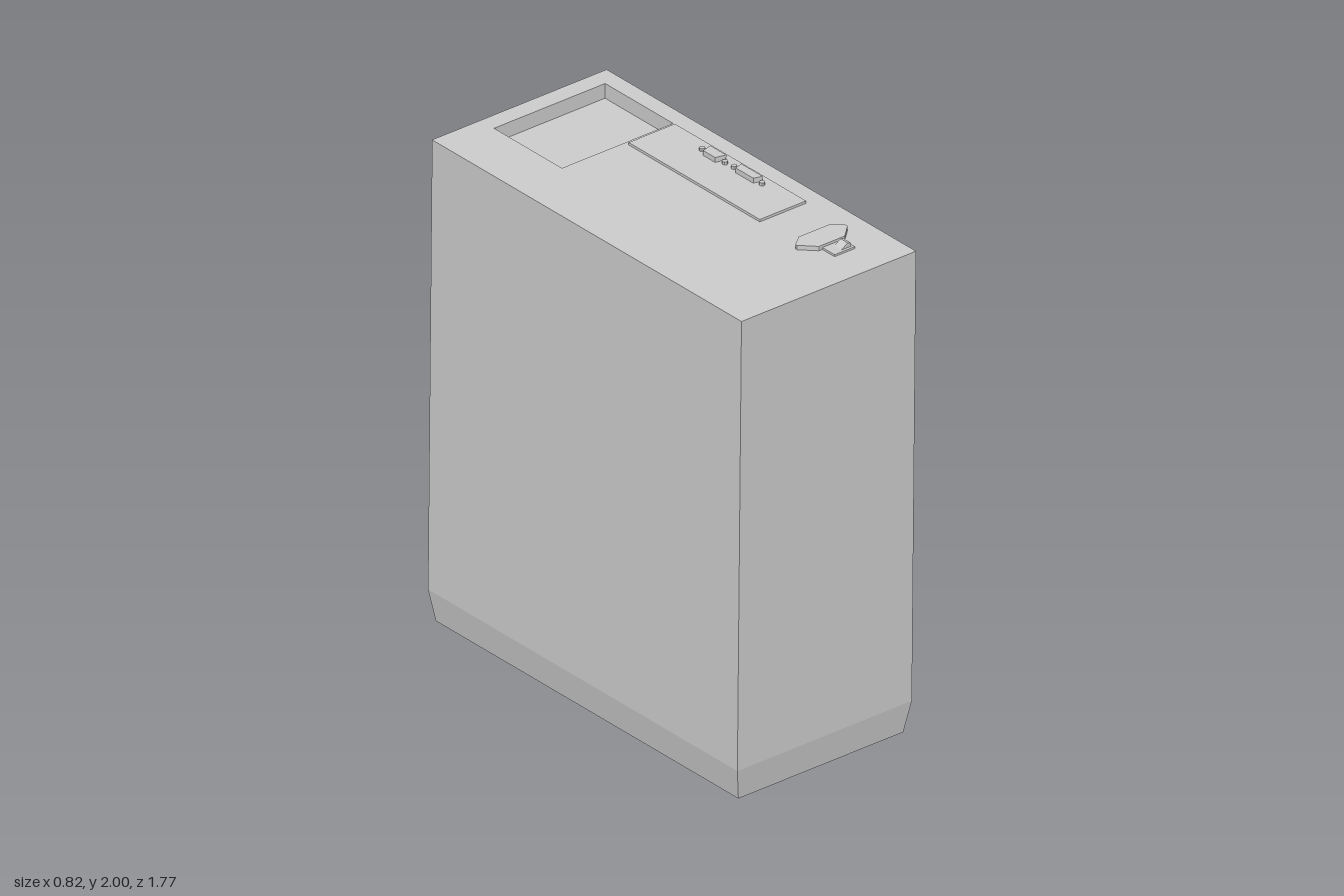
import * as THREE from 'three';

const material = new THREE.MeshStandardMaterial({ color: 0xcccccc, flatShading: true });

function addMesh(parent, name, geometry, x = 0, y = 0, z = 0) {
  const mesh = new THREE.Mesh(geometry, material);
  mesh.name = name;
  mesh.position.set(x, y, z);
  parent.add(mesh);
  return mesh;
}

// Closed surface through a sequence of rectangles [x0, x1, z0, z1, y]
function loftRectangles(rects) {
  const rings = rects.map(([x0, x1, z0, z1, y]) =>
    [[x0, y, z1], [x1, y, z1], [x1, y, z0], [x0, y, z0]]);
  const pos = [];
  const quad = (a, b, c, d) => pos.push(...a, ...b, ...c, ...a, ...c, ...d);
  const first = rings[0], last = rings[rings.length - 1];
  quad(first[3], first[2], first[1], first[0]);
  for (let r = 0; r < rings.length - 1; r++) {
    for (let i = 0; i < 4; i++) {
      const j = (i + 1) % 4;
      quad(rings[r][i], rings[r][j], rings[r + 1][j], rings[r + 1][i]);
    }
  }
  quad(...last);
  const geometry = new THREE.BufferGeometry();
  geometry.setAttribute('position', new THREE.Float32BufferAttribute(pos, 3));
  geometry.computeVertexNormals();
  return geometry;
}

// Plan outline of [x, z] points raised to a height
function raise(points, height) {
  const shape = new THREE.Shape(points.map(([x, z]) => new THREE.Vector2(x, -z)));
  return new THREE.ExtrudeGeometry(shape, { depth: height, bevelEnabled: false }).rotateX(-Math.PI / 2);
}

export function createModel() {
  const model = new THREE.Group();
  model.name = 'computerCase';

  // The whole case leans very slightly
  const tower = new THREE.Group();
  tower.name = 'tower';
  tower.rotation.set(0.0088, 0, -0.003);
  model.add(tower);

  // Body: bottom pocket, chamfered foot end, walls, top pocket
  const top = 1.968;
  addMesh(tower, 'body', loftRectangles([
    [-0.363, 0.314, -0.035, 0.79, 0.05],
    [-0.363, 0.314, -0.035, 0.79, 0.009],
    [-0.39, 0.376, -0.822, 0.85, 0.009],
    [-0.411, 0.4, -0.842, 0.868, 0.136],
    [-0.411, 0.4, -0.842, 0.868, top],
    [-0.186, 0.33, -0.767, -0.392, top],
    [-0.186, 0.33, -0.767, -0.392, top - 0.06],
  ]));

  // Connector panel parts, placed on the top face
  const panel = new THREE.Group();
  panel.name = 'connectorPanel';
  panel.position.set(-0.006, top, -0.017);
  tower.add(panel);

  addMesh(panel, 'connectorPlate', new THREE.BoxGeometry(0.215, 0.01, 0.725), 0.22, 0.005, 0.008);

  // Two trapezoid sockets, each with a screw post at both ends
  for (const [x0, x1, z0, z1] of [[0.257, 0.3, -0.126, -0.038], [0.265, 0.3, 0.045, 0.163]]) {
    addMesh(panel, 'socket', raise([[x0, z1 - 0.01], [x1, z1], [x1, z0], [x0, z0 + 0.01]], 0.03));
    for (const z of [z0 - 0.019, z1 + 0.018]) {
      addMesh(panel, 'screwPost', new THREE.CylinderGeometry(0.011, 0.011, 0.022, 8), (x0 + x1) / 2, 0.011, z);
    }
  }

  // Power inlet and its rocker switch
  addMesh(panel, 'powerInlet', raise([
    [0.085, 0.61], [0.14, 0.665], [0.26, 0.665], [0.315, 0.615],
    [0.315, 0.6], [0.27, 0.565], [0.13, 0.565], [0.085, 0.6],
  ], 0.018));
  addMesh(panel, 'switchPlate', new THREE.BoxGeometry(0.095, 0.008, 0.068), 0.203, 0.004, 0.699);
  const rocker = new THREE.Shape([
    new THREE.Vector2(0.185, 0), new THREE.Vector2(0.24, 0),
    new THREE.Vector2(0.24, 0.022), new THREE.Vector2(0.225, 0.027),
  ]);
  addMesh(panel, 'switchRocker',
    new THREE.ExtrudeGeometry(rocker, { depth: 0.04, bevelEnabled: false }), 0, 0, 0.682);

  // Four tapered feet on the back face
  const footProfile = [[0.042, 0], [0.042, 0.008], [0.03, 0.046], [0, 0.046]]
    .map(([r, h]) => new THREE.Vector2(r, h));
  for (const x of [-0.27, 0.26]) {
    for (const y of [0.3, 1.8]) {
      const foot = addMesh(tower, 'foot', new THREE.LatheGeometry(footProfile, 12), x, y, -0.842);
      foot.rotation.x = -Math.PI / 2;
    }
  }
  return model;
}
